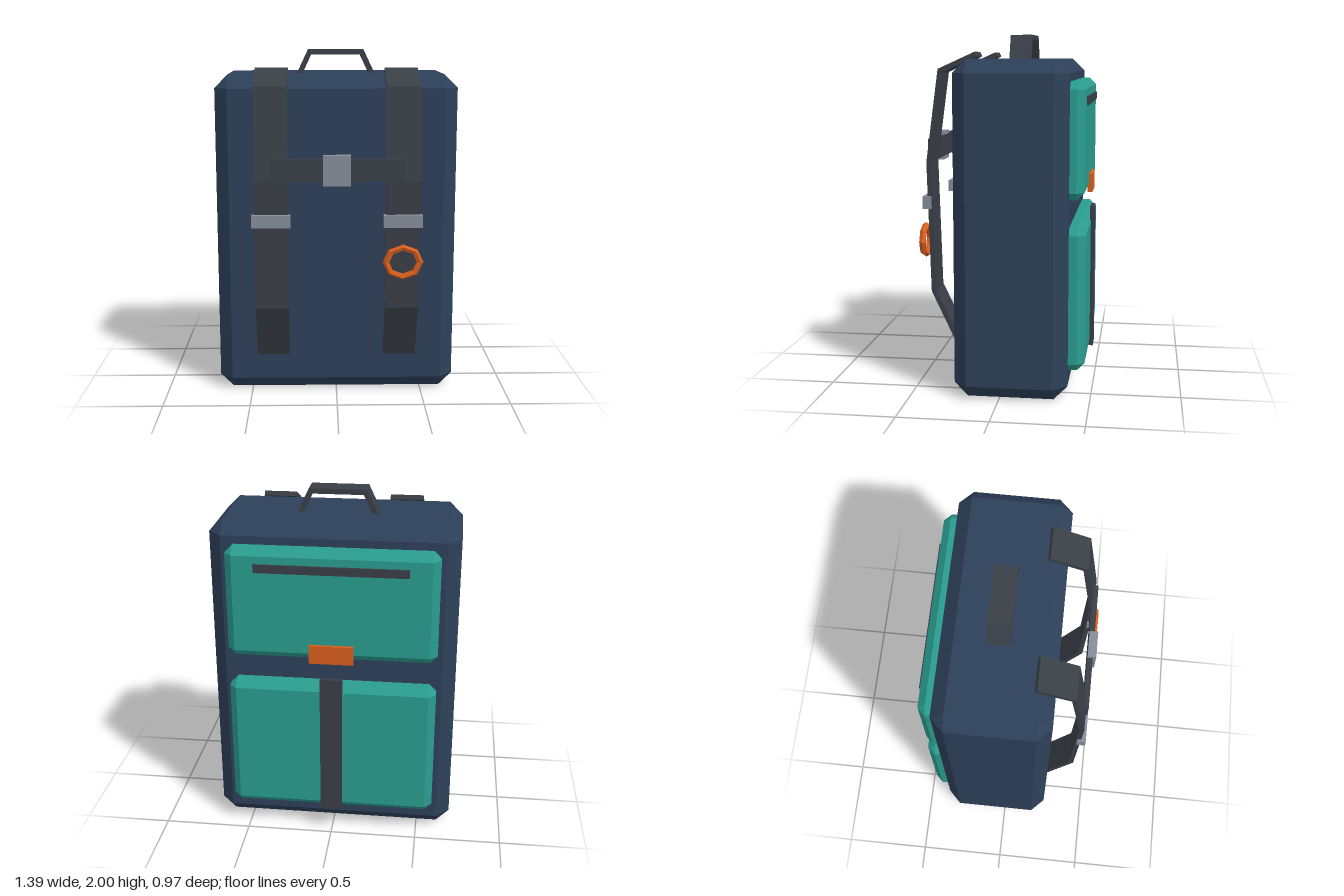
import * as THREE from 'three';
import { ConvexGeometry } from 'three/addons/geometries/ConvexGeometry.js';

const mat = (name, color) => {
  const m = new THREE.MeshStandardMaterial({ color, flatShading: true });
  m.name = name;
  return m;
};

// Box between two corners with all edges chamfered by c
function chamferBox([x0, y0, z0], [x1, y1, z1], c) {
  const size = [x1 - x0, y1 - y0, z1 - z0].map((v) => v / 2);
  const points = [];
  for (const sx of [-1, 1]) for (const sy of [-1, 1]) for (const sz of [-1, 1]) {
    for (let axis = 0; axis < 3; axis++) {
      const p = size.map((h, i) => (i === axis ? h : h - c));
      points.push(new THREE.Vector3(sx * p[0], sy * p[1], sz * p[2]));
    }
  }
  return new ConvexGeometry(points).translate((x0 + x1) / 2, (y0 + y1) / 2, (z0 + z1) / 2);
}

// Plain box between two corners
const boxBetween = ([x0, y0, z0], [x1, y1, z1]) =>
  new THREE.BoxGeometry(x1 - x0, y1 - y0, z1 - z0)
    .translate((x0 + x1) / 2, (y0 + y1) / 2, (z0 + z1) / 2);

// Flat band of given thickness along a 2D path with mitred corners, extruded to a width
function band(path, thickness, width) {
  const pts = path.map(([x, y]) => new THREE.Vector2(x, y));
  const normal = (a, b) => new THREE.Vector2(a.y - b.y, b.x - a.x).normalize();
  const sides = [[], []];
  pts.forEach((p, i) => {
    const n1 = normal(pts[Math.max(i - 1, 0)], pts[Math.max(i, 1)]);
    const n2 = i < pts.length - 1 ? normal(p, pts[i + 1]) : n1;
    const m = n1.clone().add(n2).normalize();
    m.multiplyScalar(thickness / 2 / m.dot(n1));
    sides[0].push(p.clone().add(m));
    sides[1].unshift(p.clone().sub(m));
  });
  return new THREE.ExtrudeGeometry(new THREE.Shape([...sides[0], ...sides[1]]), {
    depth: width, bevelEnabled: false,
  }).translate(0, 0, -width / 2);
}

export function createModel() {
  const model = new THREE.Group();
  model.name = 'backpack';
  const navy = mat('navy fabric', 0x2d4059);
  const teal = mat('teal fabric', 0x2a9d8f);
  const webbing = mat('dark webbing', 0x3a3f47);
  const grey = mat('grey buckle', 0x868e99);
  const orange = mat('orange accent', 0xd95f1e);
  const add = (name, geometry, material) => {
    const mesh = new THREE.Mesh(geometry, material);
    mesh.name = name;
    model.add(mesh);
    return mesh;
  };

  // Main bag
  add('body', chamferBox([-0.695, 0, -0.375], [0.695, 1.865, 0.255], 0.076), navy);

  // Pockets and their trim
  add('upperPocket', chamferBox([-0.59, 1.103, -0.455], [0.59, 1.745, -0.3], 0.042), teal);
  add('lowerPocket', chamferBox([-0.59, 0.15, -0.465], [0.59, 0.955, -0.3], 0.042), teal);
  add('pocketZip', boxBetween([-0.425, 1.613, -0.467], [0.425, 1.66, -0.445]), webbing);
  add('pocketTab', boxBetween([-0.125, 1.093, -0.475], [0.125, 1.2, -0.447]), orange);
  add('pocketStrap', boxBetween([-0.063, 0.15, -0.485], [0.063, 1.0, -0.46]), webbing);

  // Carry handle on the top
  const handle = band([[-0.215, 1.855], [-0.153, 1.985], [0.153, 1.985], [0.215, 1.855]], 0.03, 0.125);
  add('carryHandle', handle.translate(0, 0, -0.0625), webbing);

  // Shoulder straps: side profile drawn as (z, y), turned to face forward
  const profile = [[0.153, 1.89], [0.353, 1.8], [0.422, 1.29], [0.4, 0.557], [0.245, 0.23]];
  for (const [side, s] of [['left', 1], ['right', -1]]) {
    const strap = band(profile, 0.028, 0.19).rotateY(-Math.PI / 2);
    add(side + 'ShoulderStrap', strap.translate(s * 0.37, 0, 0), webbing);
    add(side + 'StrapBuckle',
      boxBetween([s * 0.37 - 0.109, 1.03, 0.408], [s * 0.37 + 0.109, 1.1, 0.458]), grey);
  }

  // Chest strap and clasp
  add('chestStrap', boxBetween([-0.372, 1.29, 0.413], [0.372, 1.415, 0.445]), webbing);
  add('chestBuckle', boxBetween([-0.077, 1.268, 0.415], [0.077, 1.437, 0.463]), grey);

  // Faceted clip ring on the left strap
  const ring = add('clipRing', new THREE.TorusGeometry(0.095, 0.02, 5, 8), orange);
  ring.position.set(0.37, 0.835, 0.463);
  ring.scale.y = 0.88;

  return model;
}
